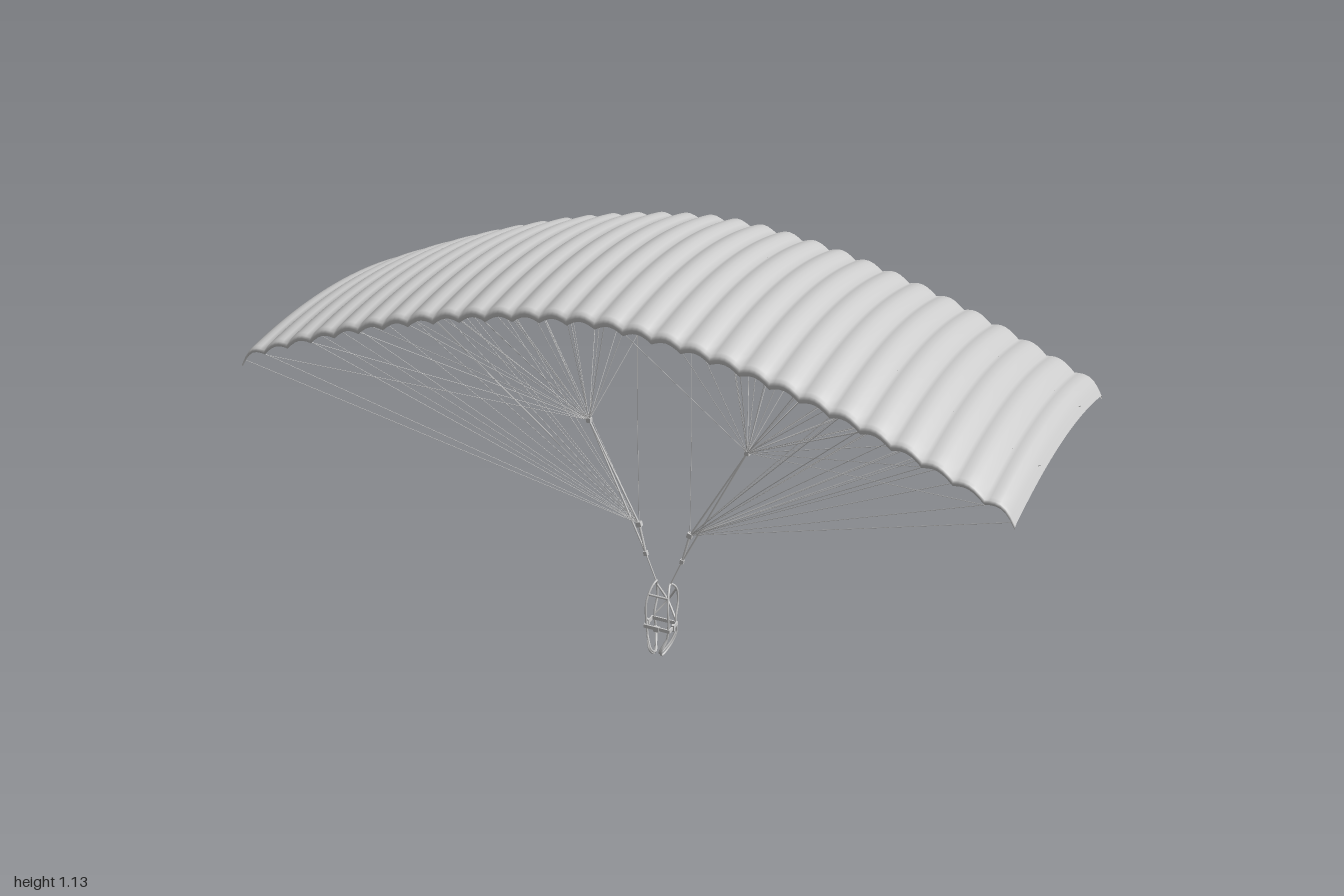
import * as THREE from 'three';
import { mergeGeometries } from 'three/addons/utils/BufferGeometryUtils.js';

const CELLS = 28, SEG = 6, HALF_Z = 0.37;
const V = (x, y, z) => new THREE.Vector3(x, y, z);
const grey = new THREE.MeshStandardMaterial({ color: 0xcccccc });
const cloth = new THREE.MeshStandardMaterial({ color: 0xcccccc, side: THREE.DoubleSide });

// Canopy height: span arch, chord bow and a bulge in every cell
function canopyY(x, z) {
  const a = Math.min(1, Math.abs(x));
  const bulge = 0.013 * Math.abs(Math.sin(x * CELLS / 2 * Math.PI));
  return 1.118 - 0.276 * Math.pow(a, 1.7) - 0.042 * (z / HALF_Z) ** 2 + bulge;
}

// Sheet with scalloped cells and a rolled hem along all four edges
function canopyGeometry() {
  const chord = [];
  for (let j = 0; j <= 20; j++) chord.push([-0.358 + 0.0358 * j, 0]);
  const hem = [[0.366, 0.004], [0.37, 0.011], [0.366, 0.022]];
  for (const [z, d] of hem) {
    chord.push([z, d]);
    chord.unshift([-z, d]);
  }
  const n = CELLS * SEG, cols = chord.length, pos = [], index = [];
  for (let i = 0; i <= n; i++) {
    const x = (2 * i) / n - 1, a = Math.abs(x);
    const roll = 0.016 * Math.pow(Math.max(0, (a - 0.965) / 0.035), 2);
    for (const [z, d] of chord) {
      pos.push(x, canopyY(x, z) - roll - d * (1 - 0.5 * a ** 4), z);
    }
  }
  for (let i = 0; i < n; i++) {
    for (let j = 0; j < cols - 1; j++) {
      const a = i * cols + j, b = a + 1, c = a + cols, d = c + 1;
      index.push(a, b, c, b, d, c);
    }
  }
  const g = new THREE.BufferGeometry();
  g.setAttribute('position', new THREE.Float32BufferAttribute(pos, 3));
  g.setIndex(index);
  g.computeVertexNormals();
  return g;
}

// Straight cord between two points
function rod(a, b, r, sides = 4) {
  const dir = b.clone().sub(a);
  const g = new THREE.CylinderGeometry(r, r, dir.length(), sides, 1);
  g.applyQuaternion(new THREE.Quaternion().setFromUnitVectors(V(0, 1, 0), dir.normalize()));
  const m = a.clone().add(b).multiplyScalar(0.5);
  return g.translate(m.x, m.y, m.z);
}

// Webbing strap following a smooth path
function strap(points, r, closed = false) {
  const curve = new THREE.CatmullRomCurve3(points.map(p => V(...p)), closed);
  return new THREE.TubeGeometry(curve, points.length * 5, r, 6, closed);
}

function box(w, h, d, x, y, z, tilt = 0) {
  return new THREE.BoxGeometry(w, h, d).rotateZ(tilt).translate(x, y, z);
}

export function createModel() {
  const model = new THREE.Group();
  const add = (name, geos, material = grey) => {
    const mesh = new THREE.Mesh(Array.isArray(geos) ? mergeGeometries(geos) : geos, material);
    mesh.name = name;
    model.add(mesh);
  };
  const hemPoint = (x, z) => V(x, canopyY(x, z) - (Math.abs(z) > 0.35 ? 0.018 : 0), z);

  add('canopy', canopyGeometry(), cloth);

  for (const s of [1, -1]) {
    const side = s > 0 ? 'left' : 'right';
    const upper = V(s * 0.22, 0.62, -0.015);
    const lower = V(s * 0.072, 0.36, 0);
    const buckle = V(s * 0.052, 0.28, 0.003);
    const shoulder = V(s * 0.02, 0.205, 0.006);

    // Suspension lines fan out from the upper knot to every second rib
    const lines = [];
    for (let k = 1; k <= 13; k += 2) {
      for (const z of [-0.362, -0.13, 0.13, 0.362]) {
        lines.push(rod(upper, hemPoint(s * k / 14, z), 0.001));
      }
    }
    add(side + 'SuspensionLines', lines);

    // Outer lines run from the lower link to the wing tip
    const outer = [];
    for (const x of [0.64, 0.79, 0.93, 0.995]) {
      for (const z of [-0.36, -0.17, 0.17, 0.36]) {
        outer.push(rod(lower, hemPoint(s * x, z), 0.001));
      }
    }
    add(side + 'TipLines', outer);

    // Inner line rising to the middle of the canopy
    add(side + 'CentreLine', [
      rod(lower, V(s * 0.075, 0.66, 0), 0.0008),
      rod(V(s * 0.075, 0.66, 0), hemPoint(s * 0.0714, 0), 0.0008),
    ]);

    // Risers, knot and links
    add(side + 'Riser', [
      rod(upper, lower, 0.0025, 6),
      rod(upper, buckle, 0.0025, 6),
      rod(lower, buckle, 0.0035, 6),
      rod(buckle, shoulder, 0.002, 6),
    ]);
    add(side + 'Links', [
      box(0.012, 0.012, 0.012, upper.x, upper.y, upper.z),
      box(0.014, 0.014, 0.012, lower.x, lower.y, lower.z, -s * 0.25),
      box(0.01, 0.012, 0.01, buckle.x, buckle.y, buckle.z, -s * 0.25),
    ]);

    // Harness loop: over the shoulder, down the back and under the thigh
    add(side + 'HarnessLoop', strap([
      [s * 0.02, 0.207, 0.006], [s * 0.028, 0.19, -0.012], [s * 0.03, 0.145, -0.02],
      [s * 0.031, 0.1, -0.004], [s * 0.03, 0.055, -0.01], [s * 0.022, 0.025, 0.004],
      [s * 0.012, 0.006, 0.038], [s * 0.018, 0.028, 0.056], [s * 0.028, 0.06, 0.043],
      [s * 0.032, 0.1, 0.043], [s * 0.031, 0.16, 0.044], [s * 0.025, 0.195, 0.026],
    ], 0.003, true));

    // Leg loop on the inner side of the thigh
    add(side + 'LegLoop', strap([
      [s * 0.03, 0.06, -0.01], [s * 0.02, 0.03, 0.01], [s * 0.008, 0.012, 0.035],
      [s * 0.012, 0.025, 0.054], [s * 0.03, 0.065, 0.042],
    ], 0.0028));

    // Crossed back strap
    add(side + 'BackStrap', strap([
      [s * 0.028, 0.185, -0.014], [0, 0.14, -0.022 - s * 0.002], [-s * 0.031, 0.098, -0.004],
    ], 0.003));
  }

  // Belt around the hips, with clasps, and the chest strap
  add('belt', [
    box(0.076, 0.01, 0.004, 0, 0.088, 0.046),
    box(0.076, 0.01, 0.004, 0, 0.088, -0.002),
    box(0.004, 0.01, 0.048, 0.036, 0.088, 0.022),
    box(0.004, 0.01, 0.048, -0.036, 0.088, 0.022),
    box(0.008, 0.018, 0.009, 0.037, 0.088, 0.024),
    box(0.008, 0.018, 0.009, -0.037, 0.088, 0.024),
    box(0.016, 0.015, 0.007, 0, 0.088, 0.048),
  ]);
  add('chestStrap', rod(V(-0.028, 0.18, 0.037), V(0.028, 0.18, 0.037), 0.003, 6));

  return model;
}
